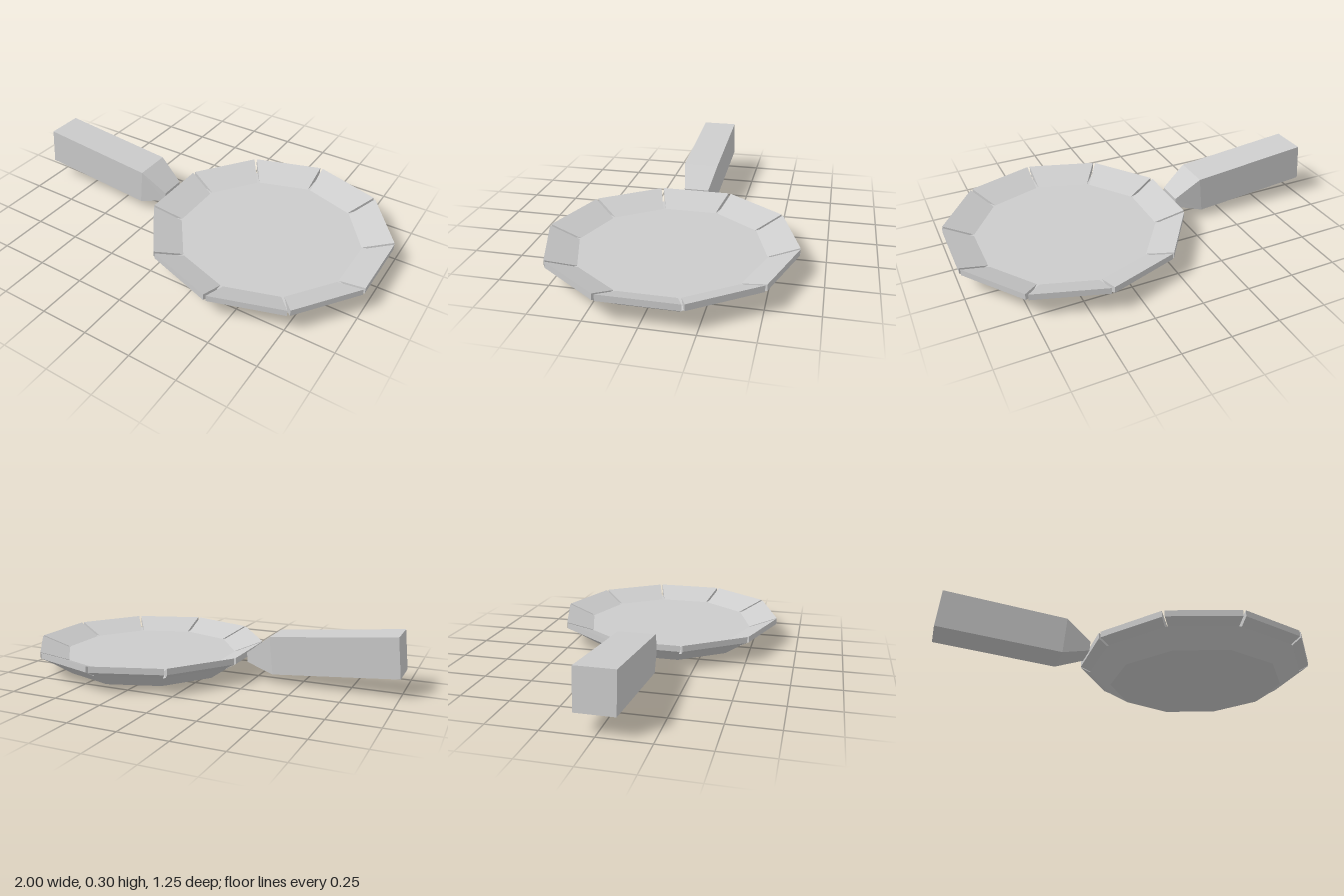
import * as THREE from 'three';

const SIDES = 10;
const CENTER_X = 0.4;
const material = new THREE.MeshStandardMaterial({ color: 0xcccccc, flatShading: true });

// Closed solid through rings of corners, each counter-clockwise about the path
function loft(rings) {
  const n = rings[0].length;
  const position = [];
  const tri = (...corners) => corners.forEach((p) => position.push(...p));
  for (let r = 0; r < rings.length - 1; r++) {
    for (let i = 0; i < n; i++) {
      const j = (i + 1) % n;
      const [a, b, c, d] = [rings[r][i], rings[r][j], rings[r + 1][j], rings[r + 1][i]];
      tri(a, b, c);
      tri(a, c, d);
    }
  }
  const first = rings[0];
  const last = rings[rings.length - 1];
  for (let i = 1; i < n - 1; i++) {
    tri(first[0], first[i + 1], first[i]);
    tri(last[0], last[i], last[i + 1]);
  }
  const geometry = new THREE.BufferGeometry();
  geometry.setAttribute('position', new THREE.Float32BufferAttribute(position, 3));
  geometry.computeVertexNormals();
  return geometry;
}

function part(name, geometry) {
  const mesh = new THREE.Mesh(geometry, material);
  mesh.name = name;
  return mesh;
}

export function createModel() {
  const group = new THREE.Group();
  group.name = 'pan';

  // Solid faceted base with the flat cooking floor on top
  const base = part('base', new THREE.CylinderGeometry(0.575, 0.462, 0.075, SIDES));
  base.position.set(CENTER_X, 0.0375, 0);
  group.add(base);

  // Sloped rim: one wedge per side, with narrow gaps at the corners
  const profile = [[0.451, 0.075], [0.547, 0.075], [0.597, 0.105], [0.597, 0.137]];
  const halfAngle = Math.PI / SIDES;
  const halfGap = 0.007;
  const wedgeEnd = (sign) => profile.map(([x, y]) =>
    [x, y, sign * (x * Math.tan(halfAngle) - halfGap / Math.cos(halfAngle))]);
  const wedge = loft([wedgeEnd(-1), wedgeEnd(1)]);
  const rim = new THREE.Group();
  rim.name = 'rim';
  rim.position.x = CENTER_X;
  for (let i = 0; i < SIDES; i++) {
    const segment = part('rimSegment', wedge);
    segment.rotation.y = i * 2 * halfAngle;
    rim.add(segment);
  }
  group.add(rim);

  // Tilted square handle, tapering to the rim
  const section = (xLow, yLow, xHigh, yHigh, z) =>
    [[xLow, yLow, -z], [xHigh, yHigh, -z], [xHigh, yHigh, z], [xLow, yLow, z]];
  group.add(part('handle', loft([
    section(-1, 0.1, -0.98, 0.301, 0.096),
    section(-0.362, 0.046, -0.342, 0.24, 0.096),
    section(-0.214, 0.088, -0.21, 0.138, 0.068),
  ])));

  return group;
}
